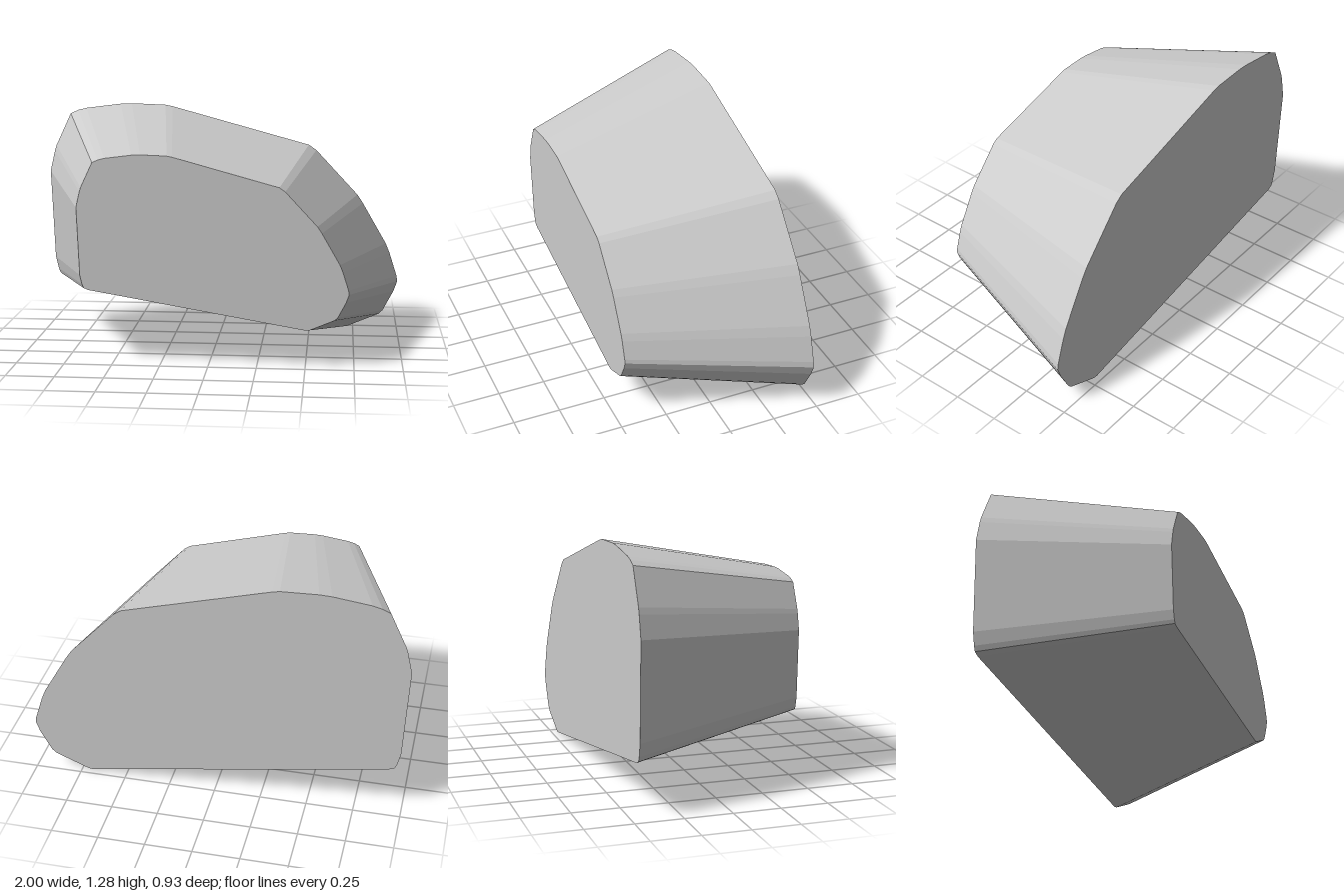
import * as THREE from 'three';

// Large rear outline, clockwise from the top left
const OUTLINE = [
  [-0.877, 1.22], [-0.834, 1.24], [-0.786, 1.252], [-0.588, 1.277], [-0.524, 1.28],
  [-0.33, 1.273], [-0.29, 1.265], [0.487, 1.052], [0.53, 1.022], [0.765, 0.77],
  [0.797, 0.722], [0.93, 0.492], [0.952, 0.439], [0.995, 0.305], [1, 0.273],
  [0.979, 0.214], [0.92, 0.102], [0.898, 0.08], [0.717, 0.004], [0.69, 0],
  [-0.92, 0.275], [-0.952, 0.289], [-0.963, 0.316], [-0.979, 0.385],
  [-0.997, 0.824], [-1, 0.888], [-0.973, 1.005], [-0.963, 1.037],
];
const DEPTH = 0.93;
const FRONT_SCALE = 0.7;
const FRONT_SHIFT = [0.02, 0.195];

export function createModel() {
  const grey = new THREE.MeshStandardMaterial({ color: 0xcccccc });
  grey.name = 'plain grey';

  // Extrude the outline, then shrink the front end to taper the block
  const shape = new THREE.Shape(OUTLINE.map(([x, y]) => new THREE.Vector2(x, y)));
  const geometry = new THREE.ExtrudeGeometry(shape, { depth: DEPTH, bevelEnabled: false });
  geometry.translate(0, 0, -DEPTH / 2);
  const p = geometry.attributes.position;
  for (let i = 0; i < p.count; i++) {
    if (p.getZ(i) > 0) {
      p.setXY(i, p.getX(i) * FRONT_SCALE + FRONT_SHIFT[0], p.getY(i) * FRONT_SCALE + FRONT_SHIFT[1]);
    }
  }
  geometry.computeVertexNormals();

  const block = new THREE.Mesh(geometry, grey);
  block.name = 'taperedBlock';
  const group = new THREE.Group();
  group.name = 'taperedSolid';
  group.add(block);
  return group;
}
